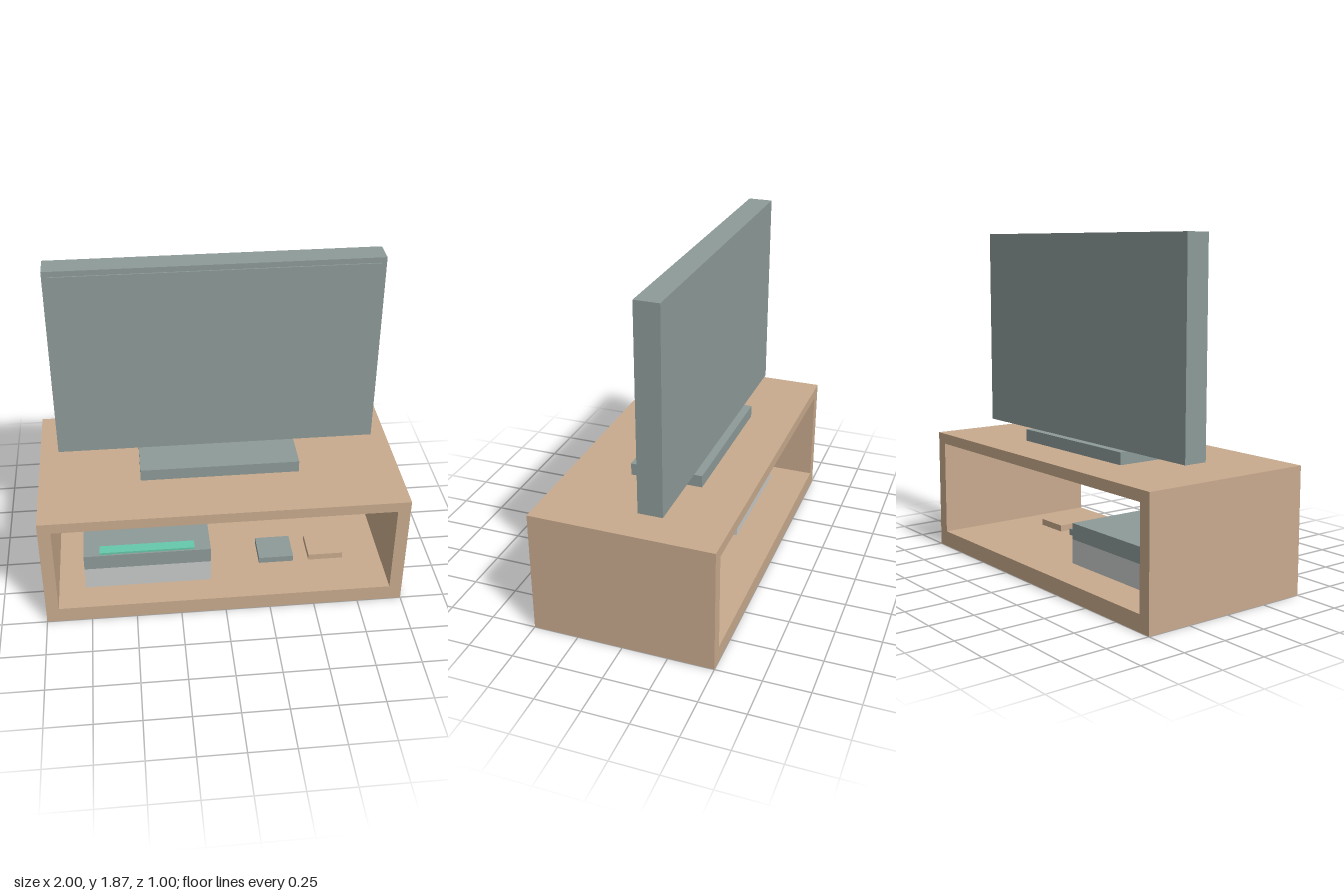
import * as THREE from 'three';

const mat = (name, color) => {
  const m = new THREE.MeshStandardMaterial({ color });
  m.name = name;
  return m;
};

export function createModel() {
  const model = new THREE.Group();
  model.name = 'televisionStand';

  const wood = mat('wood', 0xc8aa8d);
  const slate = mat('slateGrey', 0x8c9a98);
  const pale = mat('paleGrey', 0xc6c9c8);
  const teal = mat('tealLight', 0x66c8ab);

  // Box given by its extents on each axis
  function box(name, material, [x0, x1], [y0, y1], [z0, z1]) {
    const mesh = new THREE.Mesh(new THREE.BoxGeometry(x1 - x0, y1 - y0, z1 - z0), material);
    mesh.position.set((x0 + x1) / 2, (y0 + y1) / 2, (z0 + z1) / 2);
    mesh.name = name;
    model.add(mesh);
    return mesh;
  }

  // Rectangle outline for the cabinet frame
  const rect = (path, x, y0, y1) =>
    path.moveTo(-x, y0).lineTo(x, y0).lineTo(x, y1).lineTo(-x, y1).closePath();

  // Cabinet: one frame, open at the front and back
  const frame = rect(new THREE.Shape(), 1, 0, 0.69);
  frame.holes.push(rect(new THREE.Path(), 0.93, 0.09, 0.63));
  const cabinet = new THREE.Mesh(
    new THREE.ExtrudeGeometry(frame, { depth: 1, bevelEnabled: false }).translate(0, 0, -0.5), wood);
  cabinet.name = 'cabinet';
  model.add(cabinet);

  // Television: foot, body and slightly raised screen
  box('televisionFoot', slate, [-0.44, 0.44], [0.69, 0.757], [-0.235, 0.165]);
  box('televisionBody', slate, [-0.89, 0.89], [0.757, 1.87], [-0.19, -0.057]);
  box('screen', slate, [-0.86, 0.86], [0.79, 1.84], [-0.057, -0.05]);

  // Media player: pale base, grey top, light strip
  box('playerBase', pale, [-0.78, -0.07], [0.09, 0.225], [-0.275, 0.34]);
  box('playerTop', slate, [-0.78, -0.07], [0.225, 0.315], [-0.275, 0.34]);
  box('playerLightStrip', teal, [-0.69, -0.16], [0.315, 0.327], [0.27, 0.33]);

  // Small cases on the shelf
  box('greyCase', slate, [0.22, 0.42], [0.09, 0.127], [0.05, 0.23]);
  box('woodenCase', wood, [0.51, 0.71], [0.09, 0.127], [0.05, 0.23]);

  return model;
}
